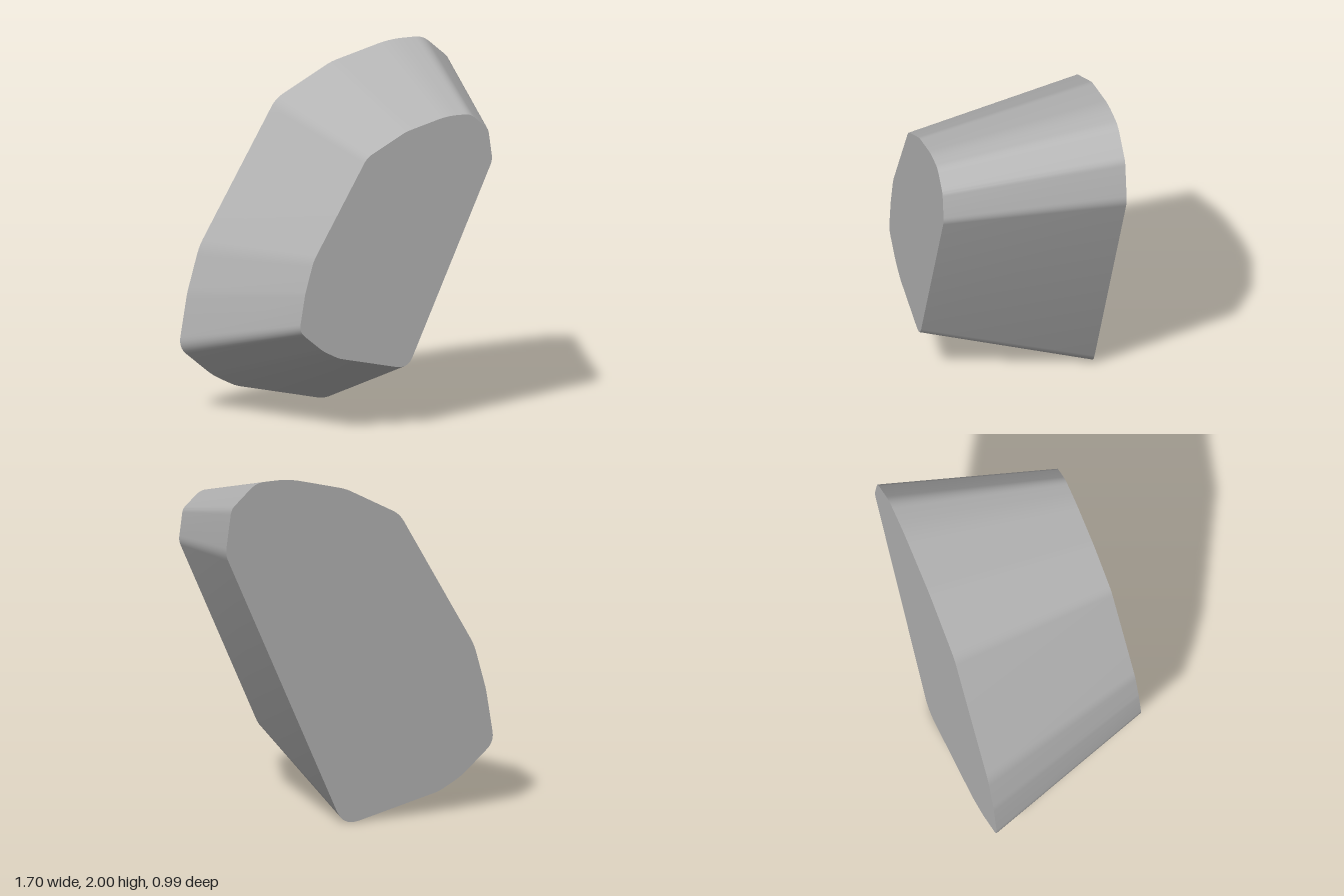
import * as THREE from 'three';
import { toCreasedNormals } from 'three/addons/utils/BufferGeometryUtils.js';

const DEPTH = 0.986;
const TAPER = 0.7; // size of the front face relative to the back
const FRONT_LIFT = 0.35;

// Corners of the back outline, counter-clockwise: x, y, rounding distance
const CORNERS = [
  [0.1, -0.015, 0.1], [0.852, 1.61, 0.04], [0.815, 1.865, 0.03],
  [0.655, 2.0, 0.05], [0.45, 2.0, 0.08], [0.085, 1.905, 0.04],
  [-0.26, 1.725, 0.05], [-0.735, 0.93, 0.05], [-0.81, 0.67, 0.03],
  [-0.862, 0.365, 0.06], [-0.65, 0.19, 0.05], [-0.51, 0.12, 0.03],
];

// Closed outline with a small curve at every corner
function roundedOutline(corners) {
  const pts = corners.map(([x, y]) => new THREE.Vector2(x, y));
  const n = pts.length;
  const toward = (a, b, d) => b.clone().sub(a).setLength(d).add(a);
  const outline = [];
  pts.forEach((p, i) => {
    const cut = corners[i][2];
    const start = toward(p, pts[(i + n - 1) % n], cut);
    const end = toward(p, pts[(i + 1) % n], cut);
    outline.push(...new THREE.QuadraticBezierCurve(start, p, end).getPoints(5));
  });
  return new THREE.Shape(outline);
}

export function createModel() {
  const group = new THREE.Group();
  group.name = 'taperedBlock';

  const grey = new THREE.MeshStandardMaterial({ color: 0xb4b4b4 });
  grey.name = 'grey';

  // Extruded outline, shrunk toward the front
  const geometry = new THREE.ExtrudeGeometry(roundedOutline(CORNERS), {
    depth: DEPTH, bevelEnabled: false, steps: 1,
  });
  const pos = geometry.attributes.position;
  for (let i = 0; i < pos.count; i++) {
    const t = pos.getZ(i) / DEPTH;
    const s = THREE.MathUtils.lerp(1, TAPER, t);
    pos.setXYZ(i, pos.getX(i) * s, pos.getY(i) * s + FRONT_LIFT * t, pos.getZ(i) - DEPTH / 2);
  }
  geometry.computeVertexNormals();

  const body = new THREE.Mesh(toCreasedNormals(geometry, 0.3), grey);
  body.name = 'body';
  group.add(body);
  return group;
}
